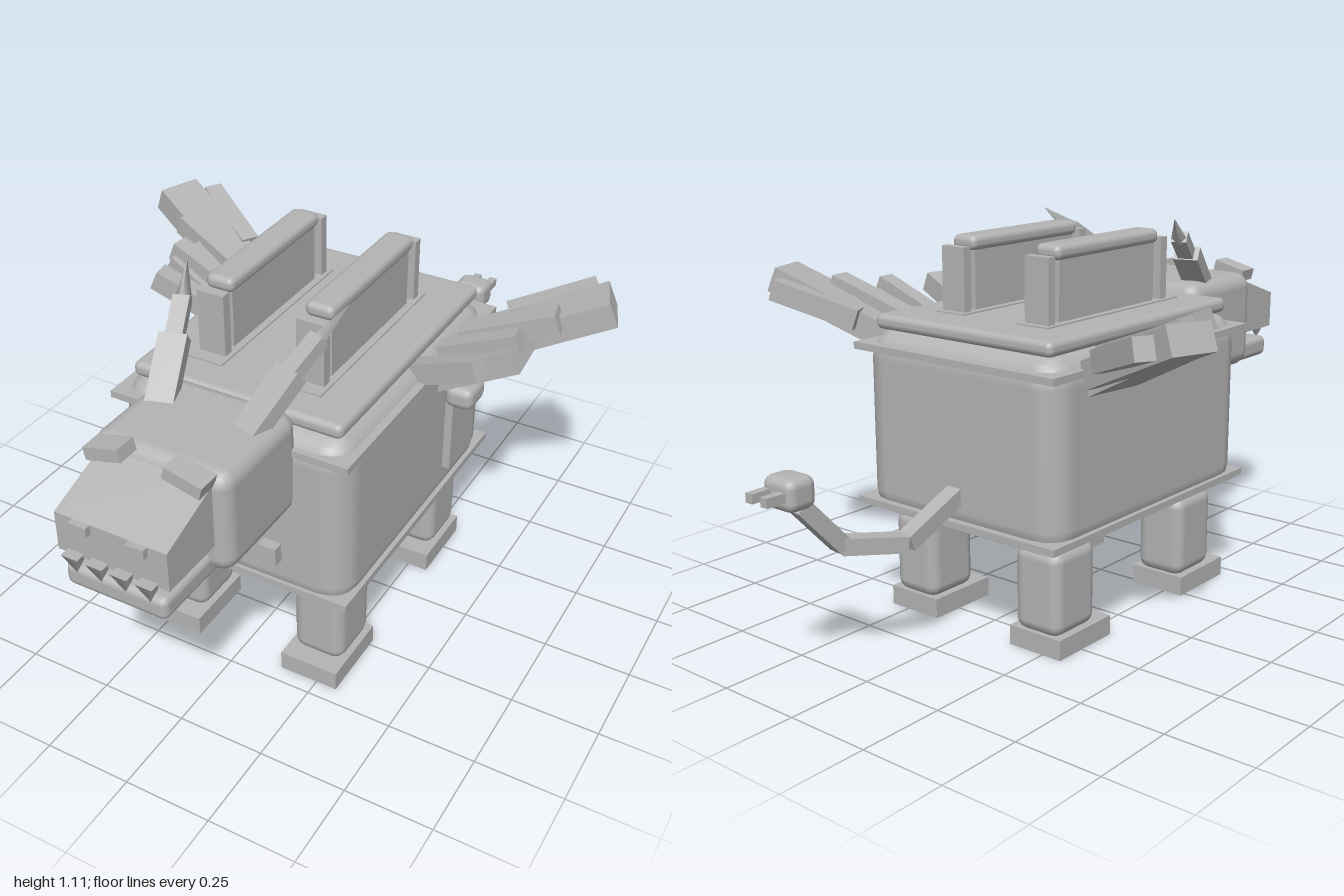
import * as THREE from 'three';
import { RoundedBoxGeometry } from 'three/addons/geometries/RoundedBoxGeometry.js';

const grey = new THREE.MeshStandardMaterial({ color: 0xb4b4b4 });
grey.name = 'plain grey';

export function createModel() {
  const model = new THREE.Group();
  model.name = 'toasterBeast';

  const add = (name, geometry, x = 0, y = 0, z = 0) => {
    const mesh = new THREE.Mesh(geometry, grey);
    mesh.name = name;
    mesh.position.set(x, y, z);
    model.add(mesh);
    return mesh;
  };
  // boxes given by their limits: [x0, x1], [y0, y1], [z0, z1]
  const mid = (r) => (r[0] + r[1]) / 2;
  const len = (r) => r[1] - r[0];
  const box = (name, x, y, z) =>
    add(name, new THREE.BoxGeometry(len(x), len(y), len(z)), mid(x), mid(y), mid(z));
  const soft = (name, x, y, z, radius) =>
    add(name, new RoundedBoxGeometry(len(x), len(y), len(z), 2, radius), mid(x), mid(y), mid(z));
  // slab running from point a to point b
  const beam = (name, a, b, width, height) => {
    const from = new THREE.Vector3(...a), to = new THREE.Vector3(...b);
    const mesh = add(name, new THREE.BoxGeometry(width, height, from.distanceTo(to)));
    mesh.position.copy(from).add(to).multiplyScalar(0.5);
    mesh.lookAt(to);
    return mesh;
  };

  // body, trims and lid
  soft('body', [-0.345, 0.345], [0.285, 0.83], [-0.41, 0.475], 0.085);
  box('lowerTrim', [-0.353, 0.353], [0.325, 0.345], [-0.425, 0.48]);
  box('upperTrim', [-0.353, 0.353], [0.77, 0.79], [-0.425, 0.48]);
  soft('lid', [-0.31, 0.31], [0.825, 0.868], [-0.385, 0.435], 0.018);

  // toast slices in their slots
  for (const x of [-0.147, 0.147]) {
    box('slot', [x - 0.053, x + 0.053], [0.862, 0.872], [-0.26, 0.34]);
    box('toast', [x - 0.032, x + 0.032], [0.86, 1.045], [-0.185, 0.245]);
    soft('toastCrust', [x - 0.042, x + 0.042], [1.035, 1.077], [-0.2, 0.26], 0.018);
    box('slotGuide', [x - 0.04, x + 0.04], [0.86, 1.05], [-0.24, -0.212]);
    box('slotGuide', [x - 0.04, x + 0.04], [0.86, 1.05], [0.27, 0.3]);
  }

  // legs and feet
  for (const x of [-0.224, 0.224]) {
    for (const back of [0.23, -0.345]) {
      soft('leg', [x - 0.077, x + 0.077], [0.05, 0.295], [back, back + 0.177], 0.035);
      box('foot', [x - 0.087, x + 0.087], [0, 0.057], [back, back + 0.222]);
    }
  }

  // skull, tapered towards the face
  const skull = new RoundedBoxGeometry(0.395, 0.295, 0.335, 2, 0.045);
  add('skull', skull, 0, 0.742, 0.607);

  // muzzle: the top slopes down to the front
  const muzzle = new THREE.BoxGeometry(0.315, 0.19, 0.23);
  const p = muzzle.attributes.position;
  for (let i = 0; i < p.count; i++) {
    if (p.getZ(i) > 0 && p.getY(i) > 0) p.setY(i, 0.015);
  }
  muzzle.computeVertexNormals();
  add('muzzle', muzzle, 0, 0.78, 0.845);
  soft('lowerJaw', [-0.145, 0.145], [0.585, 0.65], [0.7, 0.965], 0.02);

  for (const x of [-0.105, -0.035, 0.035, 0.105]) {
    const tooth = new THREE.ConeGeometry(0.033, 0.06, 4);
    tooth.rotateX(Math.PI);
    tooth.rotateY(Math.PI / 4);
    add('tooth', tooth, x, 0.667, 0.965);
  }

  for (const s of [-1, 1]) {
    add('nostril', new THREE.BoxGeometry(0.05, 0.026, 0.03), s * 0.08, 0.782, 0.962);
    const brow = add('brow', new THREE.BoxGeometry(0.105, 0.035, 0.065), s * 0.112, 0.887, 0.795);
    brow.rotation.z = -s * 0.25;

    // horns
    beam('hornBase', [s * 0.125, 0.87, 0.57], [s * 0.17, 0.985, 0.43], 0.075, 0.045);
    beam('hornMiddle', [s * 0.168, 0.98, 0.435], [s * 0.2, 1.045, 0.345], 0.045, 0.036);
    const tip = new THREE.ConeGeometry(0.024, 0.12, 4);
    tip.rotateX(Math.PI / 2);
    const horn = add('hornTip', tip, s * 0.217, 1.072, 0.305);
    horn.lookAt(s * 0.237, 1.107, 0.262);

    // wings: a broad arm, an outer blade and a fan of feathers
    beam('wingArm', [s * 0.32, 0.735, -0.165], [s * 0.54, 0.85, -0.185], 0.22, 0.07);
    beam('wingBlade', [s * 0.37, 0.775, -0.24], [s * 0.71, 0.928, -0.365], 0.13, 0.075);
    beam('feather', [s * 0.31, 0.8, 0.015], [s * 0.5, 0.885, 0.045], 0.055, 0.06);
    beam('feather', [s * 0.33, 0.8, -0.105], [s * 0.545, 0.89, -0.12], 0.055, 0.06);
    beam('feather', [s * 0.35, 0.81, -0.2], [s * 0.6, 0.905, -0.255], 0.07, 0.06);
    beam('feather', [s * 0.43, 0.83, -0.335], [s * 0.64, 0.91, -0.455], 0.055, 0.06);
  }

  // tail ending in a plug
  const tail = [[0, 0.425, -0.38], [0, 0.335, -0.595], [0.075, 0.355, -0.75], [0.09, 0.49, -0.87]];
  for (let i = 0; i < 3; i++) beam('tailSegment', tail[i], tail[i + 1], 0.048, 0.045);
  soft('plug', [0.03, 0.138], [0.492, 0.578], [-0.945, -0.855], 0.025);
  for (const x of [0.06, 0.114]) box('prong', [x - 0.012, x + 0.012], [0.523, 0.548], [-1, -0.94]);

  // front controls
  const dial = new THREE.CylinderGeometry(0.065, 0.065, 0.05, 32);
  dial.rotateX(Math.PI / 2);
  add('dial', dial, -0.135, 0.45, 0.485);
  box('dialPointer', [-0.143, -0.127], [0.445, 0.497], [0.5, 0.53]);
  box('button', [0.105, 0.158], [0.42, 0.475], [0.46, 0.505]);

  // side lever
  box('leverTrack', [0.335, 0.368], [0.413, 0.745], [-0.175, -0.115]);
  soft('leverKnob', [0.345, 0.43], [0.635, 0.705], [-0.2, -0.09], 0.025);

  return model;
}
